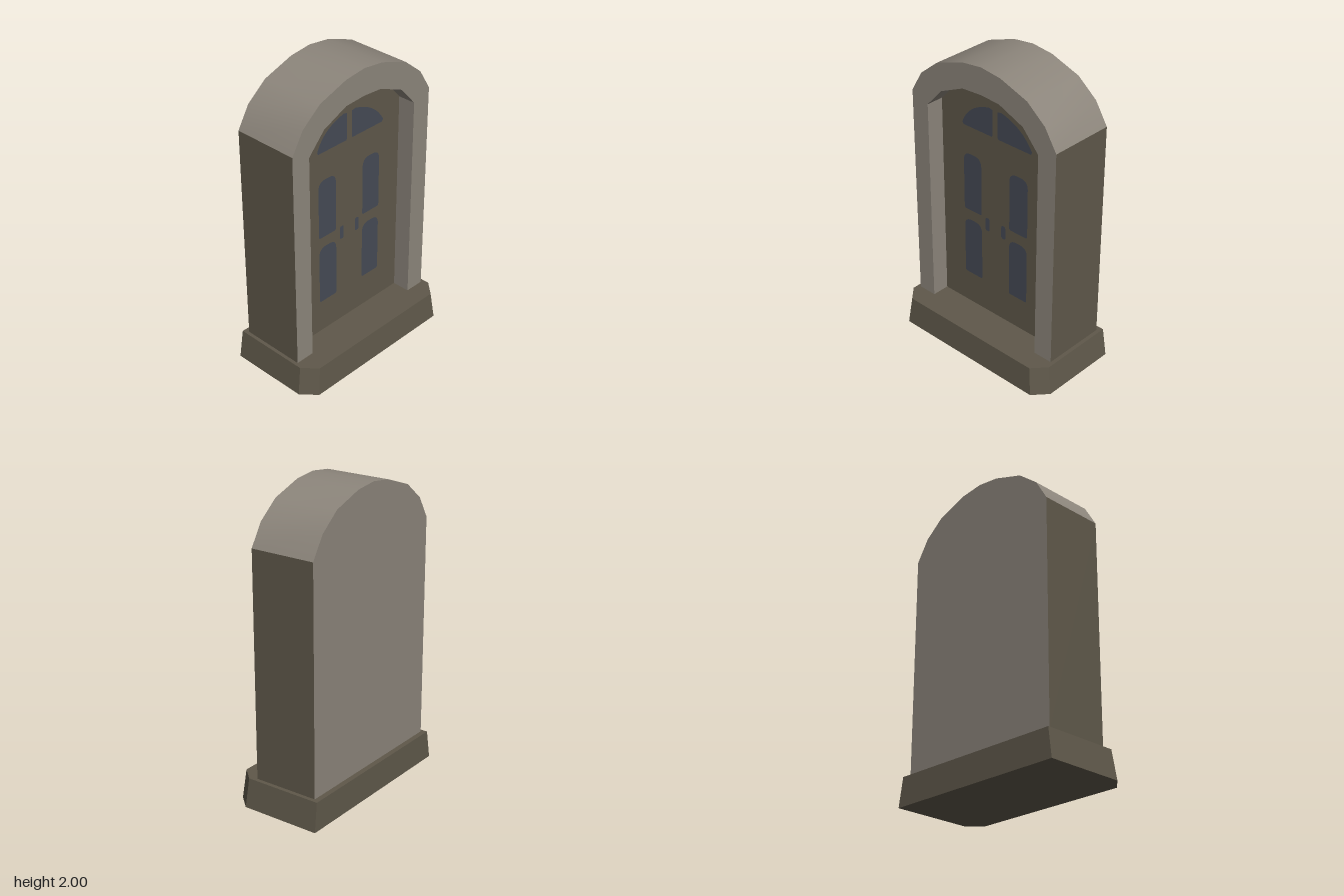
import * as THREE from 'three';
import { toCreasedNormals } from 'three/addons/utils/BufferGeometryUtils.js';

const stone = new THREE.MeshStandardMaterial({ name: 'paleStone', color: 0x8c857b });
const wood = new THREE.MeshStandardMaterial({ name: 'darkBrown', color: 0x5f584a });
const glass = new THREE.MeshStandardMaterial({ name: 'slateBlue', color: 0x454a55 });

const BACK = -0.275, FRONT = 0.165, DOOR = 0.045, STEP = 0.19;

const vectors = (pts) => pts.map(([x, y]) => new THREE.Vector2(x, y));
const face = (pts) => new THREE.ShapeGeometry(new THREE.Shape(vectors(pts)));

// Sweeps an outline along z; an anticlockwise outline faces outwards
function strip(pts, z0, z1, crease) {
  const pos = [], index = [];
  pts.forEach(([x, y], i) => {
    pos.push(x, y, z1, x, y, z0);
    if (i) {
      const a = 2 * i - 2;
      index.push(a, a + 1, a + 3, a, a + 3, a + 2);
    }
  });
  const g = new THREE.BufferGeometry();
  g.setAttribute('position', new THREE.Float32BufferAttribute(pos, 3));
  g.setIndex(index);
  g.computeVertexNormals();
  return toCreasedNormals(g, crease);
}

// Window panel with a rounded top and slightly clipped lower corners
function panelShape(cx, y0, w, h, r) {
  const x0 = cx - w / 2, x1 = cx + w / 2, y1 = y0 + h, c = 0.008;
  const s = new THREE.Shape();
  s.moveTo(x0 + c, y0);
  s.lineTo(x1 - c, y0);
  s.lineTo(x1, y0 + c);
  s.lineTo(x1, y1 - r);
  s.quadraticCurveTo(x1, y1, x1 - r, y1);
  s.lineTo(x0 + r, y1);
  s.quadraticCurveTo(x0, y1, x0, y1 - r);
  s.lineTo(x0, y0 + c);
  return s;
}

export function createModel() {
  const model = new THREE.Group();
  model.name = 'archedDoor';
  const add = (name, geometry, material, z = 0, parent = model) => {
    const mesh = new THREE.Mesh(geometry, material);
    mesh.name = name;
    mesh.position.z = z;
    parent.add(mesh);
    return mesh;
  };

  // Outer and inner arches, from the right foot over to the left foot
  const roof = [[0.577, 1.66], [0.49, 1.8], [0.355, 1.91], [0.15, 1.982], [0, 2],
    [-0.15, 1.982], [-0.36, 1.91], [-0.497, 1.8], [-0.58, 1.66]];
  const outer = [[0.577, STEP], ...roof, [-0.58, STEP]];
  const inner = [[0.443, STEP], [0.443, 1.605], [0.325, 1.738], [0.14, 1.815], [0, 1.824],
    [-0.15, 1.815], [-0.33, 1.735], [-0.45, 1.605], [-0.45, STEP]];

  // Surround
  add('archRoof', strip(roof, BACK, FRONT, 0.7), stone);
  add('rightWall', strip(outer.slice(0, 2), BACK, FRONT, 0.1), wood);
  add('leftWall', strip(outer.slice(-2), BACK, FRONT, 0.1), wood);
  add('frameFront', face([...outer, ...[...inner].reverse()]), stone, FRONT);
  add('frameReveal', strip([...inner].reverse(), DOOR, FRONT, 0.5), stone);
  add('backWall', face(outer.map(([x, y]) => [-x, y])).rotateY(Math.PI), stone, BACK);

  // Door leaf
  add('door', face(inner), wood, DOOR);

  // Glazed panels and handles
  const details = new THREE.Group();
  details.name = 'doorDetails';
  details.position.z = DOOR + 0.004;
  model.add(details);
  for (const [side, s] of [['left', 1], ['right', -1]]) {
    add(side + 'UpperWindow', new THREE.ShapeGeometry(panelShape(s * 0.191, 0.9, 0.148, 0.405, 0.06)), glass, 0, details);
    add(side + 'LowerWindow', new THREE.ShapeGeometry(panelShape(s * 0.19, 0.42, 0.148, 0.408, 0.06)), glass, 0, details);
    add(side + 'Handle', new THREE.ShapeGeometry(panelShape(s * 0.067, 0.81, 0.034, 0.093, 0.015)), glass, 0, details);
    const tip = s > 0 ? 0.295 : 0.272;
    const fan = new THREE.Shape();
    fan.moveTo(s * 0.02, 1.505);
    fan.lineTo(s * 0.028, 1.495);
    fan.lineTo(s * (tip - 0.01), 1.495);
    fan.lineTo(s * tip, 1.51);
    fan.quadraticCurveTo(s * 0.22, 1.645, s * 0.05, 1.682);
    fan.lineTo(s * 0.02, 1.676);
    add(side + 'Fanlight', new THREE.ShapeGeometry(fan), glass, 0, details);
  }

  // Plinth: chamfered front corners, narrowing upwards
  const plan = [[-0.63, 0.315], [-0.63, -0.22], [-0.545, -0.315], [0.545, -0.315], [0.63, -0.22], [0.63, 0.315]];
  const base = new THREE.ExtrudeGeometry(new THREE.Shape(vectors(plan)), { depth: STEP, bevelEnabled: false });
  base.rotateX(-Math.PI / 2);
  const p = base.attributes.position;
  for (let i = 0; i < p.count; i++) {
    if (p.getY(i) < 0.1) continue;
    p.setX(i, p.getX(i) * 0.957);
    p.setZ(i, p.getZ(i) * (p.getZ(i) > 0 ? 0.95 : 0.985));
  }
  base.computeVertexNormals();
  add('plinth', base, wood);

  return model;
}
